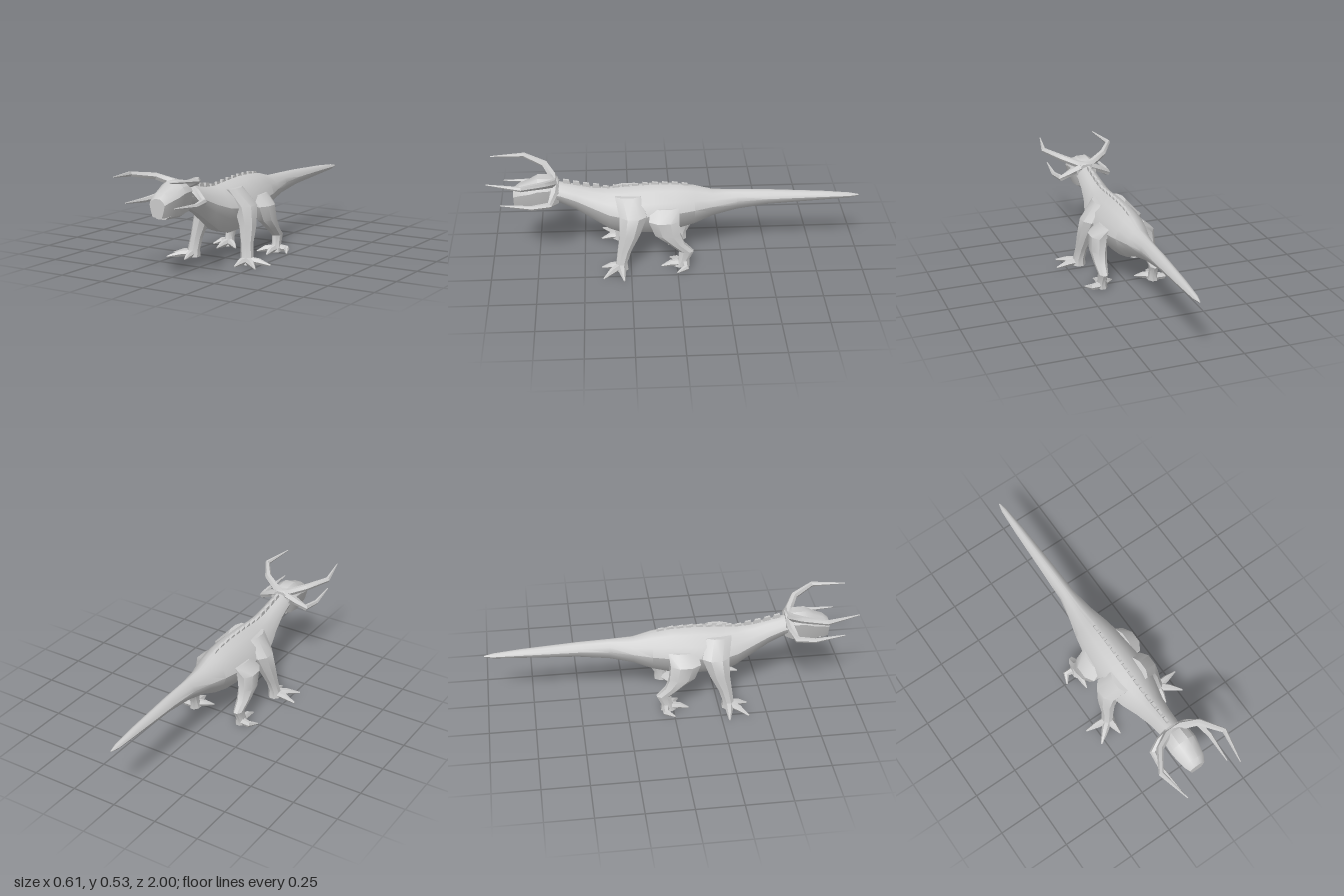
import * as THREE from 'three';
import { toCreasedNormals } from 'three/addons/utils/BufferGeometryUtils.js';

const material = new THREE.MeshStandardMaterial({ color: 0xcccccc });

// Skin a list of rings (each an array of Vector3, counter-clockwise about the path) and cap both ends
function loft(rings, flip = false, crease = 0.6) {
  const n = rings[0].length, pos = [], idx = [];
  const tri = (a, b, c) => (flip ? idx.push(a, c, b) : idx.push(a, b, c));
  rings.forEach(r => r.forEach(p => pos.push(flip ? -p.x : p.x, p.y, p.z)));
  for (let i = 0; i < rings.length - 1; i++) {
    for (let j = 0; j < n; j++) {
      const a = i * n + j, b = i * n + (j + 1) % n;
      tri(a, b, b + n);
      tri(a, b + n, a + n);
    }
  }
  const last = (rings.length - 1) * n;
  for (let j = 1; j < n - 1; j++) {
    tri(0, j + 1, j);
    tri(last, last + j, last + j + 1);
  }
  const g = new THREE.BufferGeometry();
  g.setAttribute('position', new THREE.Float32BufferAttribute(pos, 3));
  g.setIndex(idx);
  return toCreasedNormals(g, crease);
}

// Ring in the plane of u and v
function ring(center, u, v, ru, rv, sides, turn = 0) {
  return Array.from({ length: sides }, (_, k) => {
    const a = (k / sides) * Math.PI * 2 + turn;
    return center.clone().addScaledVector(u, Math.cos(a) * ru).addScaledVector(v, Math.sin(a) * rv);
  });
}

// Upright sections along z: [z, top, bottom, halfWidth]
function trunk(stations, profile) {
  return loft(stations.map(([z, top, bot, w]) => profile.map(([px, py]) =>
    new THREE.Vector3(px * w, (top + bot) / 2 + py * (top - bot) / 2, z))));
}

// Level sections running downward: [x, y, z, radiusX, radiusZ]
function leg(stations, flip) {
  const X = new THREE.Vector3(1, 0, 0), Z = new THREE.Vector3(0, 0, 1);
  return loft(stations.map(([x, y, z, rx, rz]) =>
    ring(new THREE.Vector3(x, y, z), X, Z, rx * 1.06, rz * 1.06, 8, Math.PI / 8)), flip);
}

// Tapered spike along a path: [x, y, z, radius, height radius]
function spike(points, flip, sides = 6) {
  const c = points.map(p => new THREE.Vector3(p[0], p[1], p[2]));
  const up = new THREE.Vector3(0, 1, 0);
  return loft(points.map((p, i) => {
    const t = c[Math.min(i + 1, c.length - 1)].clone().sub(c[Math.max(i - 1, 0)]).normalize();
    const u = up.clone().cross(t).normalize();
    return ring(c[i], u, t.clone().cross(u), p[3], p[4] ?? p[3], sides);
  }), flip, 0.5);
}

// Mirror the right half of a section to close it
const bodyProfile = [[0.28, -1], [0.85, -0.4], [1, 0.05], [0.82, 0.5], [0.42, 0.86], [0.1, 1],
  [-0.1, 1], [-0.42, 0.86], [-0.82, 0.5], [-1, 0.05], [-0.85, -0.4], [-0.28, -1]];
const headProfile = [[0.62, -1], [0.85, -0.3], [1, 0.35], [0.8, 0.7], [0.35, 1],
  [-0.35, 1], [-0.8, 0.7], [-1, 0.35], [-0.85, -0.3], [-0.62, -1]];

const bodyStations = [
  [-1, 0.333, 0.325, 0.004], [-0.95, 0.343, 0.316, 0.016], [-0.8, 0.357, 0.308, 0.026],
  [-0.5, 0.375, 0.292, 0.038], [-0.33, 0.381, 0.268, 0.044], [-0.2, 0.384, 0.235, 0.068],
  [-0.1, 0.41, 0.192, 0.095], [0, 0.424, 0.165, 0.115], [0.12, 0.427, 0.15, 0.128],
  [0.28, 0.418, 0.148, 0.13], [0.36, 0.411, 0.175, 0.11], [0.45, 0.417, 0.235, 0.083],
  [0.54, 0.436, 0.295, 0.067], [0.62, 0.453, 0.335, 0.06], [0.69, 0.46, 0.35, 0.055]];

// Dorsal ridge height follows the back
function backHeight(z) {
  const i = bodyStations.findIndex(s => s[0] >= z);
  const a = bodyStations[i - 1], b = bodyStations[i];
  return THREE.MathUtils.lerp(a[1], b[1], (z - a[0]) / (b[0] - a[0]));
}

export function createModel() {
  const model = new THREE.Group();
  const add = (name, geometry, parent = model) => {
    const m = new THREE.Mesh(geometry, material);
    m.name = name;
    parent.add(m);
    return m;
  };

  add('body', trunk(bodyStations, bodyProfile));

  // Head with brow and blunt beak
  add('head', trunk([[0.63, 0.468, 0.345, 0.058], [0.67, 0.488, 0.33, 0.075], [0.74, 0.49, 0.322, 0.08],
    [0.785, 0.465, 0.323, 0.073], [0.84, 0.445, 0.324, 0.062], [0.872, 0.42, 0.328, 0.045]], headProfile));
  add('lowerJaw', trunk([[0.65, 0.36, 0.325, 0.045], [0.72, 0.345, 0.31, 0.05],
    [0.84, 0.335, 0.313, 0.042]], headProfile));

  // Thin slanted plates along the spine: tall on the neck, low on the back
  const plates = new THREE.Group();
  plates.name = 'spinePlates';
  model.add(plates);
  for (let i = 0; i < 13; i++) {
    const z = 0.585 - i * 0.053, h = i < 4 ? 0.024 : 0.014;
    const y = backHeight(z) - 0.012;
    const s = new THREE.Shape([[-0.024, 0], [0.024, 0], [0.018, h + 0.012], [-0.012, h + 0.007]]
      .map(p => new THREE.Vector2(...p)));
    const g = new THREE.ExtrudeGeometry(s, { depth: 0.014, bevelEnabled: false });
    g.translate(0, 0, -0.007).rotateY(-Math.PI / 2).translate(0, y, z);
    add('spinePlate', g, plates);
  }

  for (const [side, flip] of [['left', false], ['right', true]]) {
    // Four horns spread from the back of the skull
    add(side + 'UpperHorn', spike([[0, 0.46, 0.655, 0.022], [0.045, 0.468, 0.66, 0.022], [0.125, 0.5, 0.705, 0.019],
      [0.2, 0.52, 0.82, 0.014], [0.165, 0.533, 1, 0.003]], flip));
    add(side + 'LowerHorn', spike([[0.03, 0.45, 0.65, 0.025], [0.085, 0.425, 0.655, 0.022],
      [0.142, 0.388, 0.675, 0.018], [0.157, 0.383, 0.77, 0.013], [0.145, 0.396, 0.935, 0.003]], flip));

    // Front leg with three spread toes
    add(side + 'FrontLeg', leg([[0.06, 0.39, 0.26, 0.03, 0.07], [0.115, 0.3, 0.235, 0.056, 0.075],
      [0.143, 0.2, 0.255, 0.042, 0.055], [0.157, 0.11, 0.285, 0.031, 0.037],
      [0.166, 0.045, 0.3, 0.032, 0.03], [0.168, 0.003, 0.305, 0.036, 0.04]], flip));
    for (const [x, z] of [[0.303, 0.29], [0.275, 0.4], [0.155, 0.408]]) {
      const mx = (0.168 + x) / 2, mz = (0.305 + z) / 2;
      add(side + 'FrontToe', spike([[0.168, 0.022, 0.305, 0.024, 0.022], [mx, 0.02, mz, 0.019, 0.018],
        [x, 0.006, z, 0.004, 0.004]], flip));
    }

    // Rear leg bent at knee and hock
    add(side + 'RearLeg', leg([[0.085, 0.33, 0.06, 0.035, 0.08], [0.132, 0.275, 0.07, 0.05, 0.083],
      [0.142, 0.195, 0.05, 0.043, 0.07], [0.146, 0.14, 0.002, 0.035, 0.042],
      [0.148, 0.092, -0.05, 0.025, 0.04], [0.15, 0.045, -0.036, 0.023, 0.03],
      [0.15, 0.003, -0.025, 0.03, 0.042]], flip));
    const claws = [[[0.155, -0.04], [0.208, -0.045], [0.235, 0.003]],
      [[0.15, -0.02], [0.152, 0.035], [0.158, 0.085]],
      [[0.145, -0.02], [0.105, 0.005], [0.068, 0.035]]];
    for (const c of claws) {
      add(side + 'RearToe', spike(c.map(([x, z], i) => [x, [0.022, 0.019, 0.006][i], z,
        [0.022, 0.018, 0.004][i]]), flip));
    }
  }
  return model;
}
